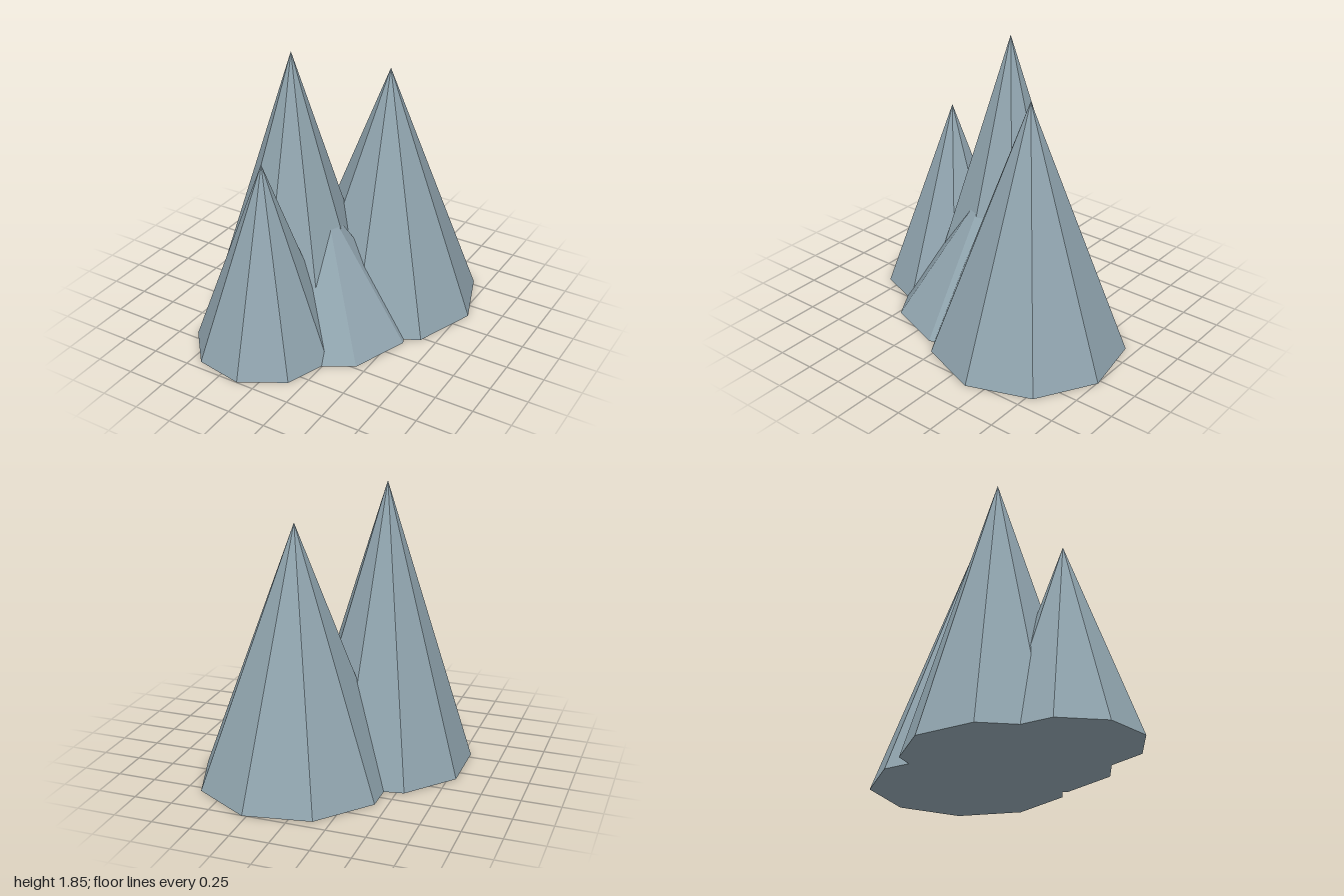
import * as THREE from 'three';

// Cluster of nine-sided rock spires: name, x, z, base radius, height
const SPIRES = [
  ['tallSpire', -0.26, 0.10, 0.575, 1.85],
  ['backSpire', 0.17, -0.385, 0.63, 1.66],
  ['frontSpire', -0.20, 0.54, 0.465, 1.29],
  ['lowSpire', -0.01, 0.11, 0.58, 0.87],
];

export function createModel() {
  const group = new THREE.Group();
  group.name = 'rockSpires';

  const rock = new THREE.MeshStandardMaterial({ color: 0x90a4ae, flatShading: true });
  rock.name = 'blueGreyRock';

  for (const [name, x, z, radius, height] of SPIRES) {
    // A corner of each base points along +x
    const cone = new THREE.ConeGeometry(radius, height, 9, 1, false, Math.PI / 2);
    cone.translate(0, height / 2, 0);
    const spire = new THREE.Mesh(cone, rock);
    spire.name = name;
    spire.position.set(x, 0, z);
    group.add(spire);
  }
  return group;
}
